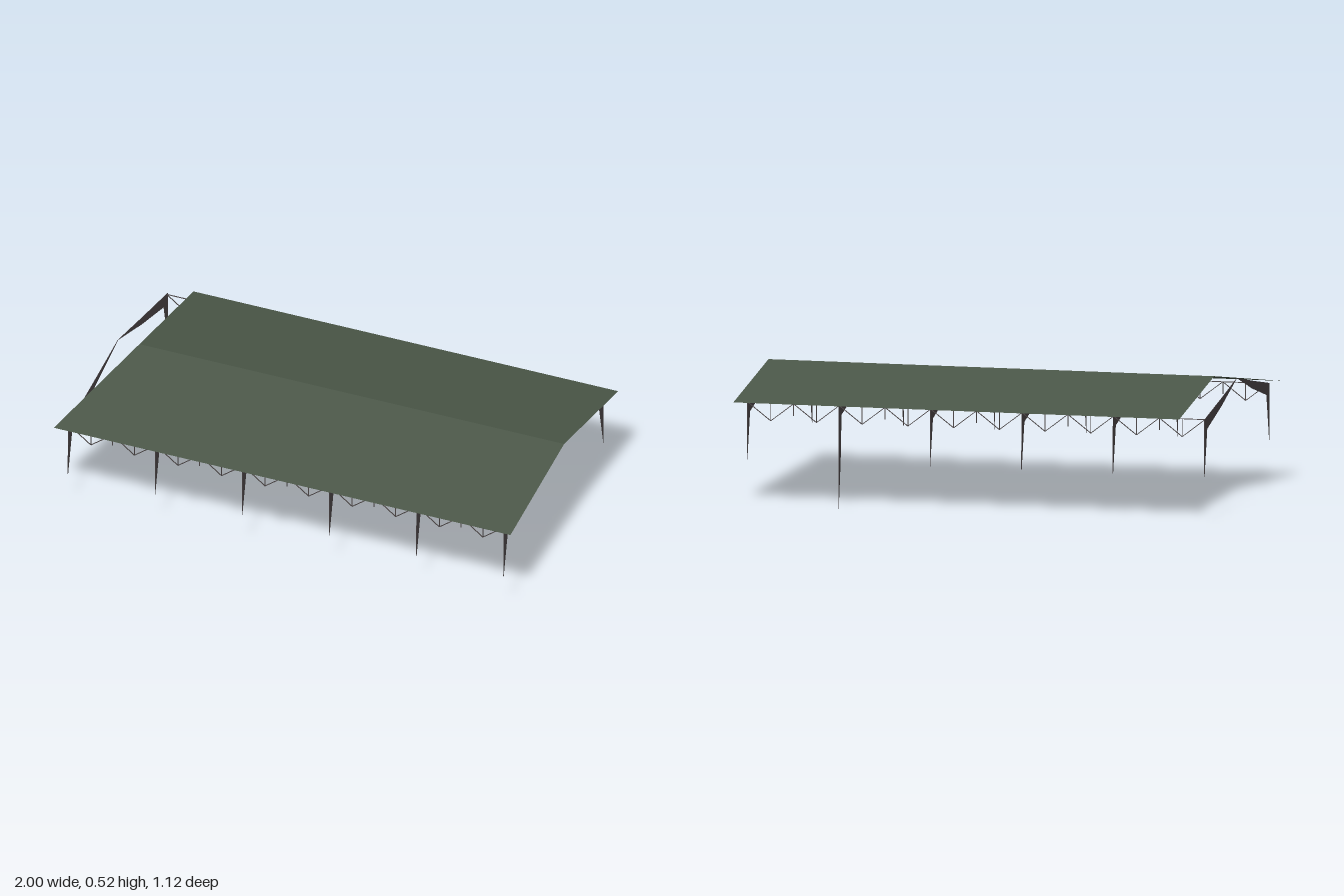
import * as THREE from 'three';

export function createModel() {
  const model = new THREE.Group();
  const roofGreen = new THREE.MeshStandardMaterial({ color: 0x4b5748, side: THREE.DoubleSide });
  roofGreen.name = 'roof green';
  const steel = new THREE.MeshStandardMaterial({ color: 0x4a4445 });
  steel.name = 'dark steel';

  // Roof: two thin sheets meeting at the ridge, the front one with a slanted end
  const ridgeY = 0.525, eaveY = 0.43;
  function roofSheet(name, corners) {
    const geo = new THREE.BufferGeometry();
    geo.setAttribute('position', new THREE.Float32BufferAttribute(corners.flat(), 3));
    geo.setIndex([0, 1, 2, 0, 2, 3]);
    geo.computeVertexNormals();
    const mesh = new THREE.Mesh(geo, roofGreen);
    mesh.name = name;
    model.add(mesh);
  }
  roofSheet('frontRoof', [[-1, eaveY, 0.56], [1, eaveY, 0.56], [1, ridgeY, 0], [-0.86, ridgeY, 0]]);
  roofSheet('backRoof', [[-0.86, ridgeY, 0], [1, ridgeY, 0], [1, eaveY, -0.565], [-0.86, eaveY, -0.565]]);

  // Flat plate in the z-y plane, given as [z, y] points
  const thick = 0.002;
  function plate(parent, name, x, side, points) {
    const shape = new THREE.Shape(points.map(([z, y]) => new THREE.Vector2(-z * side, y)));
    const geo = new THREE.ExtrudeGeometry(shape, { depth: thick, bevelEnabled: false });
    geo.translate(0, 0, -thick / 2).rotateY(Math.PI / 2);
    const mesh = new THREE.Mesh(geo, steel);
    mesh.name = name;
    mesh.position.x = x;
    parent.add(mesh);
  }

  // Tapered portal frames; a few lack the inner rafter on one side
  const innerRafter = [[0, 0.521], [0.25, 0.474], [0.25, 0.442]];
  const outerRafter = [[0.25, 0.474], [0.52, 0.426], [0.478, 0.383], [0.25, 0.442]];
  const column = [[0.52, 0.426], [0.522, 0.192], [0.478, 0.383]];
  const longColumn = [[0.52, 0.426], [0.522, 0.005], [0.492, 0.195], [0.478, 0.383]];
  const bay = 0.3815, firstX = -0.954;
  const frontInner = [true, false, true, true, false, false];
  const backInner = [true, true, true, true, false, true];
  for (let i = 0; i < 6; i++) {
    const frame = new THREE.Group();
    frame.name = 'portalFrame';
    const x = firstX + i * bay;
    for (const side of [1, -1]) {
      const inner = side > 0 ? frontInner[i] : backInner[i];
      if (inner) plate(frame, 'innerRafter', x, side, innerRafter);
      plate(frame, 'outerRafter', x, side, outerRafter);
      plate(frame, 'column', x, side, side < 0 && i === 4 ? longColumn : column);
    }
    model.add(frame);
  }

  // Slim bars between two points along an eave
  function bar(parent, name, x0, y0, x1, y1, z) {
    const length = Math.hypot(x1 - x0, y1 - y0);
    const mesh = new THREE.Mesh(new THREE.BoxGeometry(length, 0.003, 0.003), steel);
    mesh.name = name;
    mesh.position.set((x0 + x1) / 2, (y0 + y1) / 2, z);
    mesh.rotation.z = Math.atan2(y1 - y0, x1 - x0);
    parent.add(mesh);
  }

  // Eave trusses: top chord, zigzag diagonals and short posts in each bay
  const topY = 0.425, lowY = 0.352, step = bay / 4;
  for (const z of [0.51, -0.51]) {
    const truss = new THREE.Group();
    truss.name = 'eaveTruss';
    for (let i = 0; i < 5; i++) {
      const x = firstX + i * bay;
      bar(truss, 'topChord', x, topY, x + bay, topY, z);
      for (let q = 0; q < 4; q++) {
        const down = q % 2 === 0;
        bar(truss, 'diagonal', x + q * step, down ? topY : lowY, x + (q + 1) * step, down ? lowY : topY, z);
        if (q > 0) bar(truss, 'post', x + q * step, topY, x + q * step, q === 2 ? 0.375 : lowY, z);
      }
    }
    model.add(truss);
  }
  return model;
}
